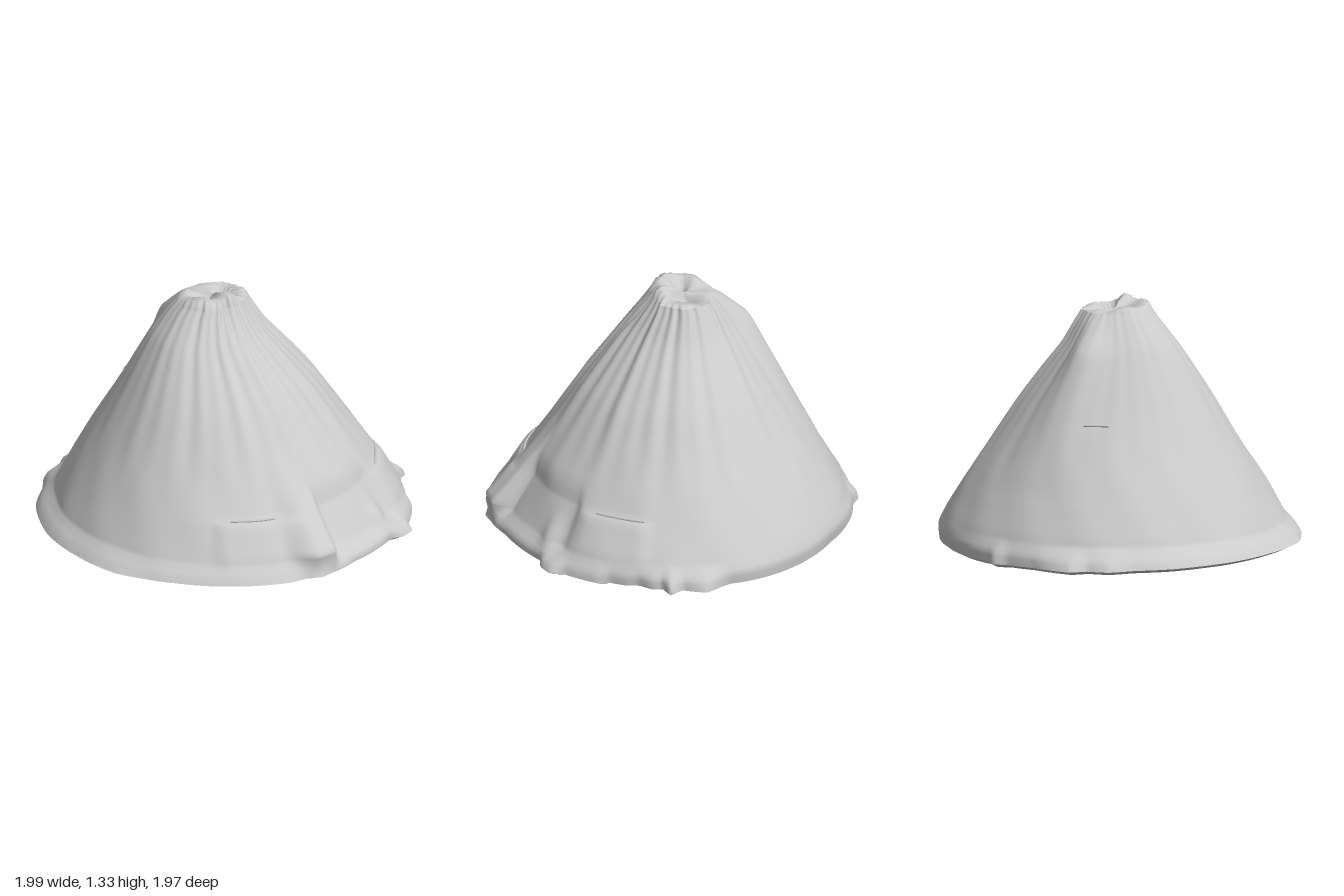
import * as THREE from 'three';

const SEG = 288;
// hem outline as x, z pairs, walked from the front round by the +x side
const HEM = [0, .97, .14, .93, .3, .89, .46, .82, .52, .84, .61, .81, .63, .74, .77, .59, .78, .52, .83, .44,
  .84, .38, .9, .32, .91, .26, .99, .25, .94, .17, .995, .05, .94, -.05, .92, -.1, .91, -.19, .87, -.33, .78, -.5,
  .57, -.72, .3, -.9, .17, -.94, .1, -.99, .03, -.96, -.13, -.96, -.38, -.97, -.44, -.9, -.56, -.87, -.65, -.76,
  -.8, -.62, -.9, -.45, -.96, -.31, -1, 0, -.96, .31, -.88, .45, -.77, .6, -.56, .8, -.43, .88, -.29, .94, -.19, .95, -.11, .985, -.03, .97];
// body sections: height, centre x, centre z, radius
const BODY = [[.05, 0, 0, .96], [.2, -.005, -.015, .88], [.34, -.01, -.02, .8], [.45, -.015, -.02, .735],
  [.8, -.04, -.03, .5], [1.1, -.08, -.06, .285], [1.25, -.065, -.07, .18], [1.27, -.06, -.065, .165]];
const TOP = 1.27;
// outward swell of the loose front flap and of the ridge high on the back, by height
const FLAP = [[.05, 0], [.18, .1], [.3, .065], [.46, .015], [.6, 0]];
const RIDGE = [[.4, 0], [.8, .06], [1.1, .095], [1.22, .04], [1.27, 0]];

const hemPts = [];
for (let i = 0; i < HEM.length; i += 2) {
  const a = Math.atan2(HEM[i], HEM[i + 1]);
  hemPts.push([(a + 2 * Math.PI) % (2 * Math.PI), Math.hypot(HEM[i], HEM[i + 1])]);
}
hemPts.push([2 * Math.PI, hemPts[0][1]]);

// linear look-up in rows sorted by their first value
function lookUp(rows, t) {
  let i = 0;
  while (i < rows.length - 2 && rows[i + 1][0] < t) i++;
  const p = rows[i], q = rows[i + 1];
  const k = THREE.MathUtils.clamp((t - p[0]) / (q[0] - p[0]), 0, 1);
  return p.map((v, j) => v + (q[j] - v) * k);
}
const step = THREE.MathUtils.smoothstep;
const bump = (v, c, w) => Math.exp(-(((v - c) / w) ** 2));
const band = (v, a, b, soft) => step(v, a - soft, a) * (1 - step(v, b, b + soft));
const wrap = a => Math.atan2(Math.sin(a), Math.cos(a));
const floorY = (x, z) => .018 - .012 * x + .012 * z;
const LIFT = .025;

// pleats that fan out from the peak, strongest on the front and +x side
function pleat(a, y) {
  const strong = .6 + .4 * Math.cos(a - .6);
  const fan = .006 * Math.sin(9 * a + 1) + .005 * Math.sin(17 * a + 2) + .005 * Math.sin(29 * a + .5);
  return fan * strong * step(y, .3, .8);
}

function bodyPoint(a, y) {
  const [, cx, cz, r0] = lookUp(BODY, y);
  const s = wrap(a);
  let r = r0 + pleat(a, y);
  // upper part is wider from side to side, flatter at the front corners, with a ridge behind
  r += .03 * step(y, .4, 1) * Math.sin(a) ** 2;
  r -= .02 * band(y, .5, 1.1, .2) * (bump(s, -.65, .35) + .5 * bump(s, .65, .35));
  r += lookUp(RIDGE, y)[1] * bump(wrap(a - Math.PI), 0, .3);
  // overhanging shelf on two stretches of the front
  const shelf = band(s, -.62, -.15, .12) + band(s, .75, 1.1, .12);
  r += .02 * shelf * (1 - step(y, .325, .35)) * step(y, .06, .2);
  // sagging flap with one sharp edge, beside a recessed panel
  r += lookUp(FLAP, y)[1] * step(s, -.3, -.1) * (1 - step(s, -.01, .04));
  r -= .025 * band(s, .06, .6, .08) * band(y, .14, .34, .08);
  // dents in the lower band
  r += .03 * bump(s, .5, .06) * bump(y, .17, .08);
  r += .004 * Math.sin(13 * a) * Math.sin(11 * y + 3 * a) * (1 - step(y, .4, .8));
  // slit below the peak
  r -= .025 * bump(s, -.02, .1) * step(y, 1.02, 1.2);
  // blend straight into the ragged hem
  const w = THREE.MathUtils.clamp((.14 - y) / .09, 0, 1);
  r += (lookUp(hemPts, a)[1] - r) * w;
  const x = cx * (1 - w) + r * Math.sin(a), z = cz * (1 - w) + r * Math.cos(a);
  return [x, y < .051 ? floorY(x, z) + LIFT : y, z];
}

// joins rings of points into a smooth skin
function skin(name, rings) {
  const pos = [], idx = [], n = SEG + 1;
  rings.forEach((ring, j) => {
    for (let i = 0; i < n; i++) {
      pos.push(...ring((i % SEG) / SEG * 2 * Math.PI));
      if (j && i < SEG) {
        const p = (j - 1) * n + i, q = j * n + i;
        idx.push(p, p + 1, q, p + 1, q + 1, q);
      }
    }
  });
  const geo = new THREE.BufferGeometry();
  geo.setAttribute('position', new THREE.Float32BufferAttribute(pos, 3));
  geo.setIndex(idx);
  geo.computeVertexNormals();
  // close the shading seam
  const nor = geo.attributes.normal;
  for (let j = 0; j < rings.length; j++) {
    const p = j * n, q = p + SEG, v = new THREE.Vector3().fromBufferAttribute(nor, p);
    v.add(new THREE.Vector3().fromBufferAttribute(nor, q)).normalize();
    nor.setXYZ(p, v.x, v.y, v.z);
    nor.setXYZ(q, v.x, v.y, v.z);
  }
  const mesh = new THREE.Mesh(geo, new THREE.MeshStandardMaterial({ color: 0xcccccc, side: THREE.DoubleSide }));
  mesh.name = name;
  return mesh;
}

export function createModel() {
  const group = new THREE.Group();
  group.name = 'pleatedCone';

  // sloping cloth-like body
  const heights = [.05, .07, .09, .11, .14, .16, .18, .2, .23, .26, .29, .32, .335, .35, .38];
  for (let y = .43; y < 1.25; y += .04) heights.push(y);
  heights.push(TOP);
  group.add(skin('body', heights.map(y => a => bodyPoint(a, y))));

  // crumpled peak: lip high at the front and -x side, low at +x, two hollows with a ridge between
  const peak = (k, rise, drop) => a => {
    const [x, , z] = bodyPoint(a, TOP);
    const lip = .026 + .016 * Math.cos(a) - .02 * Math.sin(a) + .008 * Math.sin(5 * a + .6) + .02 * bump(wrap(a), .25, .35);
    return [-.05 + (x + .05) * k, TOP + rise * lip - drop * Math.sin(a) ** 2, -.07 + (z + .07) * k];
  };
  group.add(skin('peak', [peak(1, 0, 0), peak(.88, .8, 0), peak(.7, 1, 0), peak(.45, .8, .04), peak(.2, .6, .06),
    () => [-.05, 1.28, -.07]]));

  // flat underside with a bevelled, turned-in edge
  const under = (k, rise) => a => {
    const [x, , z] = bodyPoint(a, .05);
    return [x * k, floorY(x * k, z * k) + rise, z * k];
  };
  group.add(skin('underside', [under(0, 0), under(.5, 0), under(.9, 0), under(.955, .004), under(1, LIFT)]));

  // thin lips over the shelf, and one higher on the back
  for (const [from, to, y] of [[-.6, -.3, .345], [.79, 1.13, .345], [3.42, 3.66, .74]]) {
    const pts = [];
    for (let i = 0; i <= 6; i++) pts.push(new THREE.Vector3(...bodyPoint((from + (to - from) * i / 6 + 2 * Math.PI) % (2 * Math.PI), y)));
    const lip = new THREE.Mesh(new THREE.TubeGeometry(new THREE.CatmullRomCurve3(pts), 16, .008, 6),
      new THREE.MeshStandardMaterial({ color: 0xcccccc }));
    lip.name = 'foldLip';
    group.add(lip);
  }
  return group;
}
